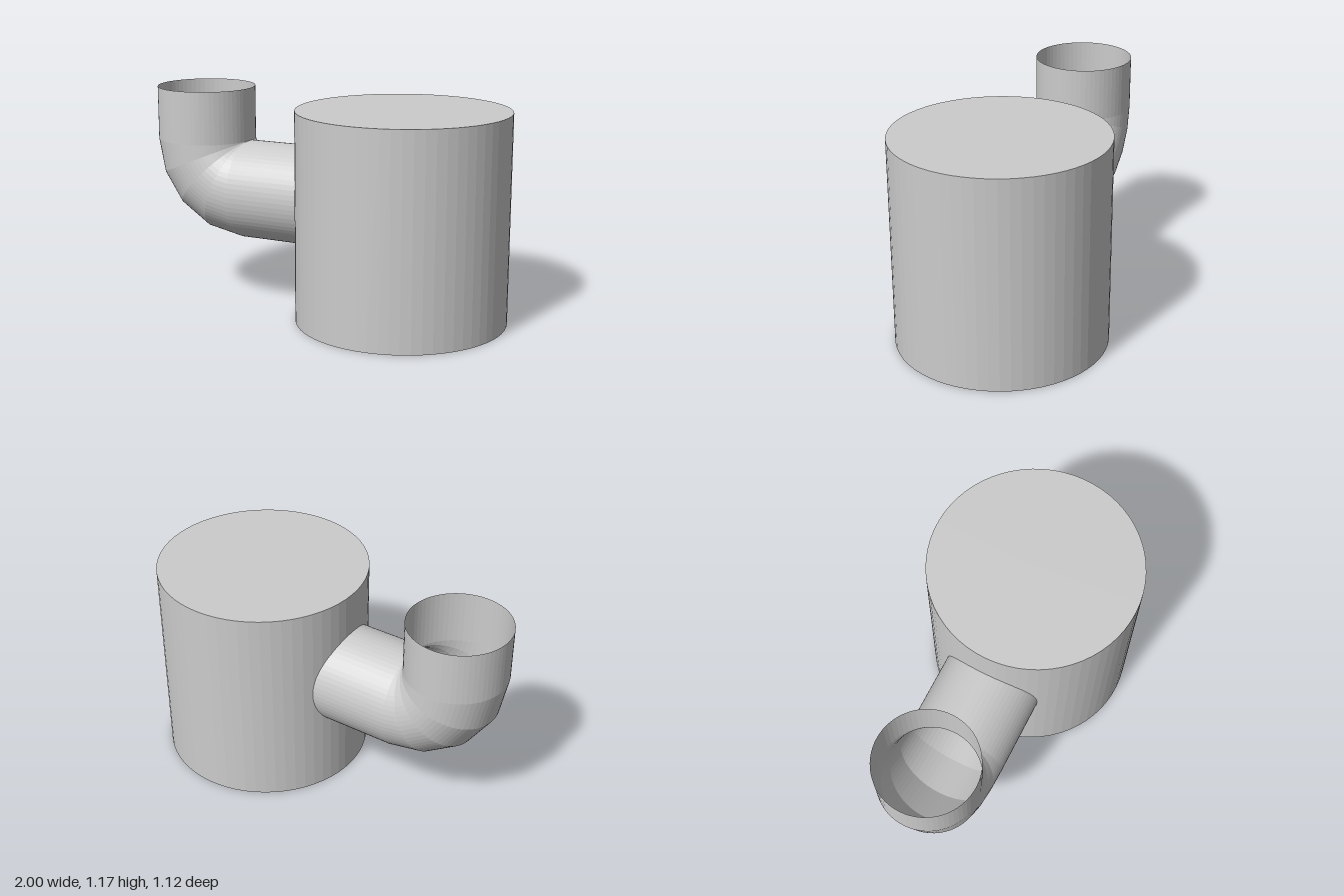
import * as THREE from 'three';

const SIDES = 64;
const BODY = { x: 0.441, r: 0.559, h: 1.119 };
const PIPE = { r: 0.267, top: 1.173, hingeX: -0.466, hingeY: 0.886, bends: 4 };

// Loft a skin through rings of points; ring(i) returns a function angle -> [x, y, z]
function loft(rings) {
  const pos = [], index = [], row = SIDES + 1;
  rings.forEach((ring, i) => {
    for (let j = 0; j <= SIDES; j++) {
      pos.push(...ring((j / SIDES) * Math.PI * 2));
      if (i === 0 || j === SIDES) continue;
      const a = (i - 1) * row + j, b = a + row;
      index.push(a, b, a + 1, b, b + 1, a + 1);
    }
  });
  const geo = new THREE.BufferGeometry();
  geo.setAttribute('position', new THREE.Float32BufferAttribute(pos, 3));
  geo.setIndex(index);
  geo.computeVertexNormals();
  return geo;
}

export function createModel() {
  const group = new THREE.Group();
  const solid = new THREE.MeshStandardMaterial({ color: 0xcccccc, flatShading: true });
  const thin = solid.clone();
  thin.side = THREE.DoubleSide;

  // Closed drum
  const body = new THREE.Mesh(new THREE.CylinderGeometry(BODY.r, BODY.r, BODY.h, SIDES), solid);
  body.name = 'drumBody';
  body.position.set(BODY.x, BODY.h / 2, 0);
  group.add(body);

  // Open spout: upright collar, mitred elbow hinged on its inner corner, level run into the drum
  const { r, top, hingeX, hingeY, bends } = PIPE;
  const rings = [(t) => [hingeX - r - r * Math.cos(t), top, r * Math.sin(t)]];
  for (let i = 0; i <= bends; i++) {
    const a = (i / bends) * Math.PI / 2;
    rings.push((t) => {
      const reach = r * (1 + Math.cos(t));
      return [hingeX - reach * Math.cos(a), hingeY - reach * Math.sin(a), r * Math.sin(t)];
    });
  }
  // Last ring follows the curved drum wall
  rings.push((t) => {
    const z = r * Math.sin(t);
    return [BODY.x - Math.sqrt(BODY.r ** 2 - z * z) + 0.004, hingeY - r - r * Math.cos(t), z];
  });
  const spout = new THREE.Mesh(loft(rings), thin);
  spout.name = 'elbowSpout';
  group.add(spout);

  return group;
}
